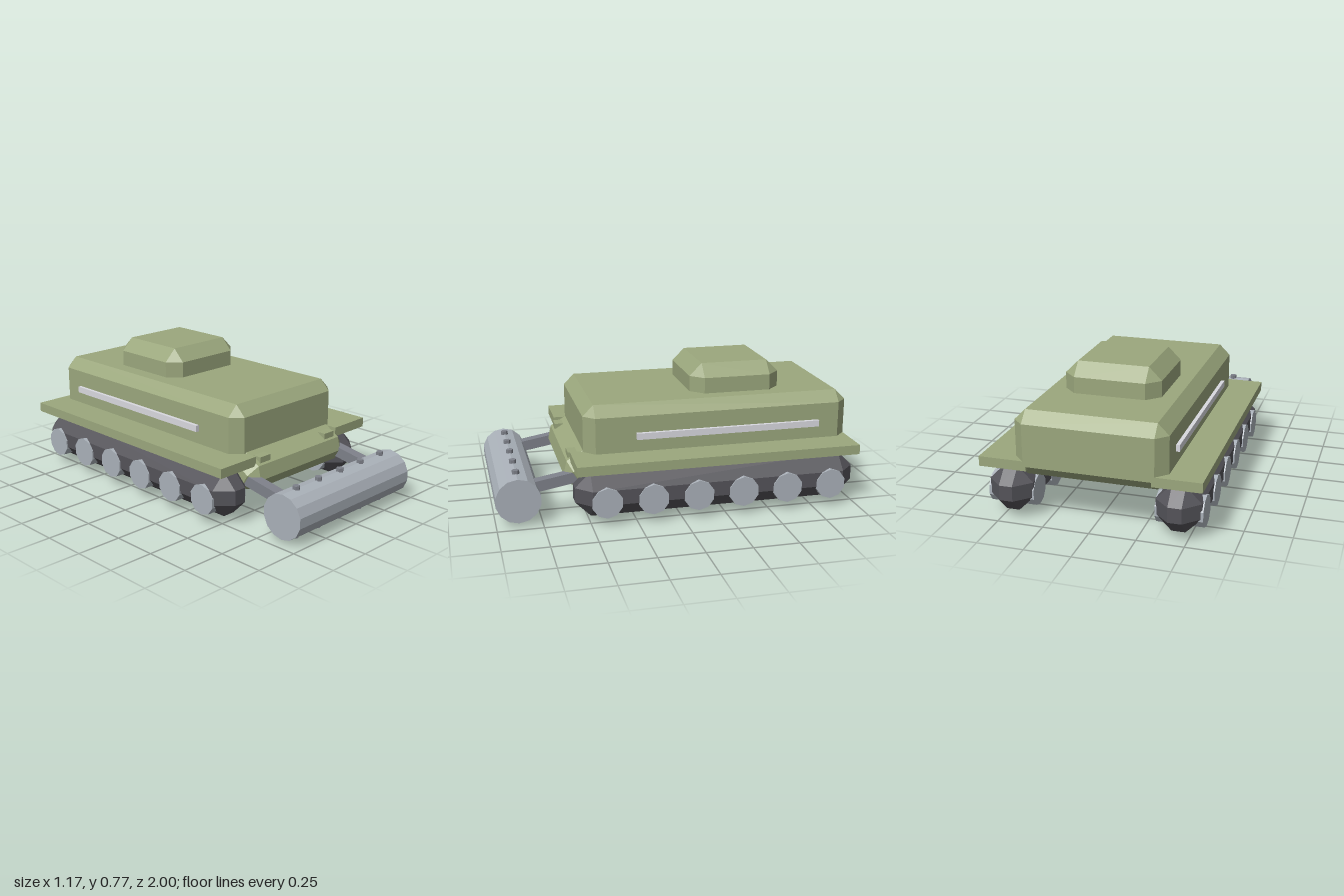
import * as THREE from 'three';
import { ConvexGeometry } from 'three/addons/geometries/ConvexGeometry.js';

const mat = (name, color) => {
  const m = new THREE.MeshStandardMaterial({ color, flatShading: true });
  m.name = name;
  return m;
};

export function createModel() {
  const model = new THREE.Group();
  const green = mat('olive green', 0x9ba77d);
  const steel = mat('steel', 0xaab1b9);
  const tread = mat('dark tread', 0x545359);
  const iron = mat('iron grey', 0x7e818a);
  const pale = mat('pale grey', 0xd9d9e0);

  const add = (name, geometry, material, x = 0, y = 0, z = 0) => {
    const mesh = new THREE.Mesh(geometry, material);
    mesh.name = name;
    mesh.position.set(x, y, z);
    model.add(mesh);
    return mesh;
  };

  // Box with every edge cut by c
  const chamferBox = (w, h, d, c) => {
    const X = w / 2, Y = h / 2, Z = d / 2, pts = [];
    for (const sx of [-1, 1]) for (const sy of [-1, 1]) for (const sz of [-1, 1]) {
      pts.push(
        new THREE.Vector3(sx * X, sy * (Y - c), sz * (Z - c)),
        new THREE.Vector3(sx * (X - c), sy * Y, sz * (Z - c)),
        new THREE.Vector3(sx * (X - c), sy * (Y - c), sz * Z));
    }
    return new ConvexGeometry(pts);
  };

  // Cylinder lying along x, with a flat side on top
  const roller = (r, length, sides) =>
    new THREE.CylinderGeometry(r, r, length, sides).rotateY(Math.PI / sides).rotateZ(Math.PI / 2);

  // Hull and turret
  add('hull', chamferBox(0.81, 0.35, 1.51, 0.06), green, 0, 0.44, -0.245);
  add('turret', chamferBox(0.527, 0.24, 0.52, 0.07), green, 0, 0.653, -0.385);

  // Sloped nose plate, sunk into the hull front
  const nose = add('nosePlate', chamferBox(0.77, 0.18, 0.55, 0.055), green, 0, 0.343, 0.365);
  nose.rotation.x = 0.55;

  for (const s of [-1, 1]) {
    const side = s > 0 ? 'left' : 'right';
    // Fender, side rail and headlight
    add(side + 'Fender', new THREE.BoxGeometry(0.258, 0.053, 1.58), green, s * 0.458, 0.328, -0.21);
    add(side + 'Rail', new THREE.BoxGeometry(0.04, 0.036, 1.045), pale, s * 0.405, 0.444, -0.297);
    add(side + 'Headlight', new THREE.BoxGeometry(0.08, 0.036, 0.05), green, s * 0.265, 0.327, 0.563);

    // Track with six wheels showing on both faces
    add(side + 'Track', chamferBox(0.24, 0.25, 1.58, 0.084), tread, s * 0.4475, 0.162, -0.21);
    for (let i = 0; i < 6; i++) {
      add(side + 'Wheel' + (i + 1), roller(0.085, 0.25, 10), steel, s * 0.45, 0.135, 0.42 - i * 0.2525);
    }

    // Arm carrying the front roller
    const arm = add(side + 'RollerArm', new THREE.BoxGeometry(0.06, 0.06, 0.32), iron, s * 0.35, 0.21, 0.645);
    arm.rotation.x = 0.17;
  }

  // Front roller with studs passing through it
  add('frontRoller', roller(0.124, 0.91, 14), steel, 0, 0.143, 0.878);
  for (let i = -2; i <= 2; i++) {
    add('stud' + (i + 3), new THREE.CylinderGeometry(0.02, 0.02, 0.285, 6), iron, i * 0.175, 0.1425, 0.878);
  }
  return model;
}
